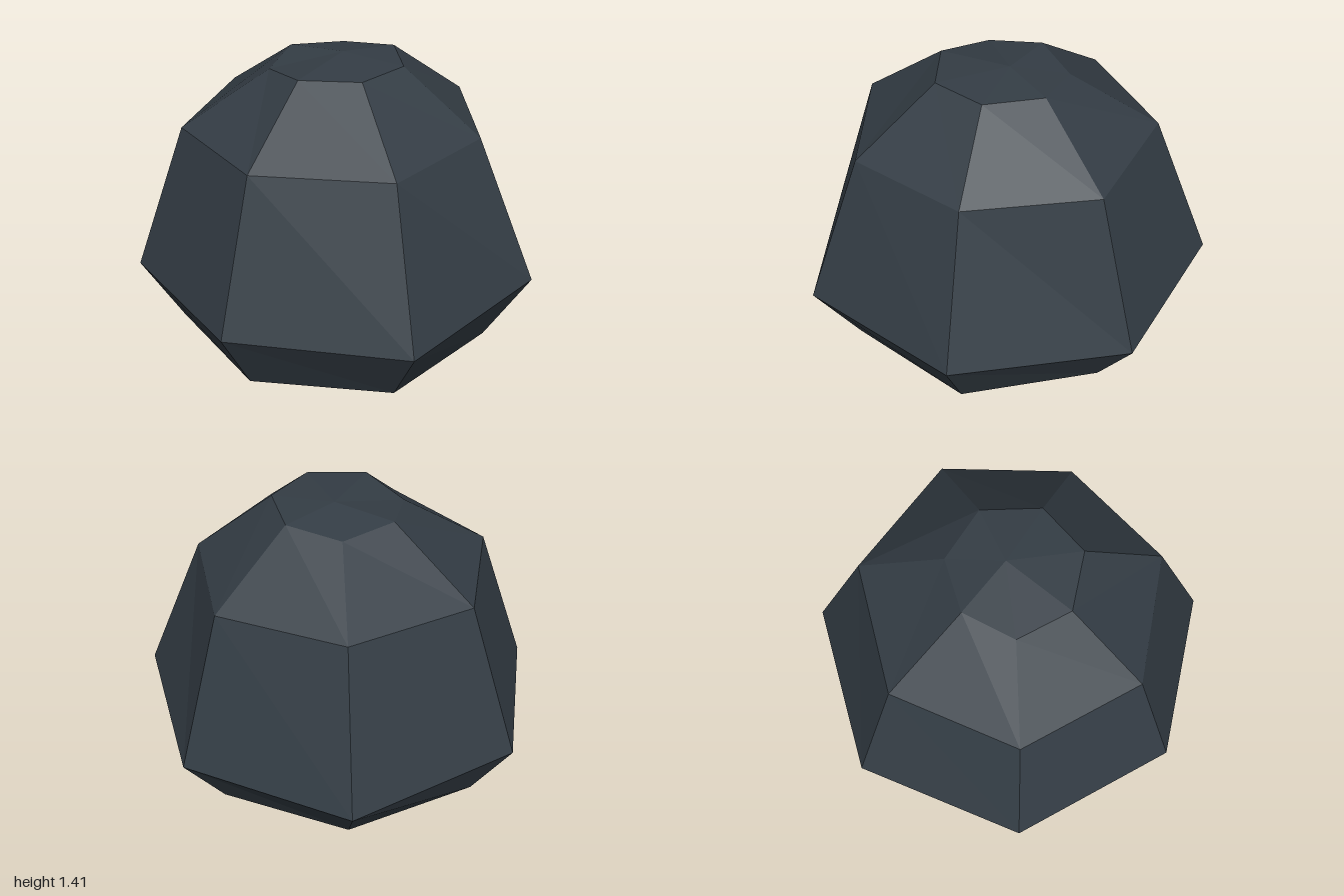
import * as THREE from 'three';

// Seven-sided cross-sections from the ground up, each point is [x, y, z]
const RINGS = [
  [[0.11, 0, -0.73], [0.68, 0, -0.38], [0.76, 0, 0.3], [0.28, 0, 0.79], [-0.4, 0, 0.69], [-0.77, 0, 0.11], [-0.55, 0, -0.54]],
  [[0.14, 0.33, -1], [0.87, 0.32, -0.5], [0.97, 0.36, 0.37], [0.35, 0.33, 1], [-0.51, 0.35, 0.87], [-0.975, 0.33, 0.14], [-0.7, 0.34, -0.69]],
  [[0.11, 1.09, -0.71], [0.66, 1.08, -0.36], [0.69, 1.08, 0.28], [0.27, 1.075, 0.735], [-0.38, 1.08, 0.66], [-0.725, 1.07, 0.12], [-0.51, 1.08, -0.5]],
  [[0.06, 1.36, -0.28], [0.3, 1.39, -0.14], [0.33, 1.39, 0.15], [0.13, 1.39, 0.35], [-0.16, 1.385, 0.31], [-0.3, 1.35, 0.07], [-0.2, 1.38, -0.18]],
];
const APEX = [0.05, 1.41, 0];
const BASE = [0, 0, 0];

// Joins the cross-sections with flat facets and closes both ends
function rockGeometry() {
  const positions = [];
  const triangle = (...corners) => corners.forEach((c) => positions.push(...c));
  const sides = RINGS[0].length;
  const top = RINGS[RINGS.length - 1];
  for (let i = 0; i < sides; i++) {
    const j = (i + 1) % sides;
    for (let r = 0; r < RINGS.length - 1; r++) {
      const low = RINGS[r];
      const high = RINGS[r + 1];
      triangle(low[i], high[i], high[j]);
      triangle(low[i], high[j], low[j]);
    }
    triangle(APEX, top[j], top[i]);
    triangle(BASE, RINGS[0][i], RINGS[0][j]);
  }
  const geometry = new THREE.BufferGeometry();
  geometry.setAttribute('position', new THREE.Float32BufferAttribute(positions, 3));
  geometry.computeVertexNormals();
  return geometry;
}

export function createModel() {
  const slate = new THREE.MeshStandardMaterial({ color: 0x343d45 });
  slate.name = 'darkSlate';
  slate.flatShading = true;

  const rock = new THREE.Mesh(rockGeometry(), slate);
  rock.name = 'boulder';

  const model = new THREE.Group();
  model.name = 'rock';
  model.add(rock);
  return model;
}
